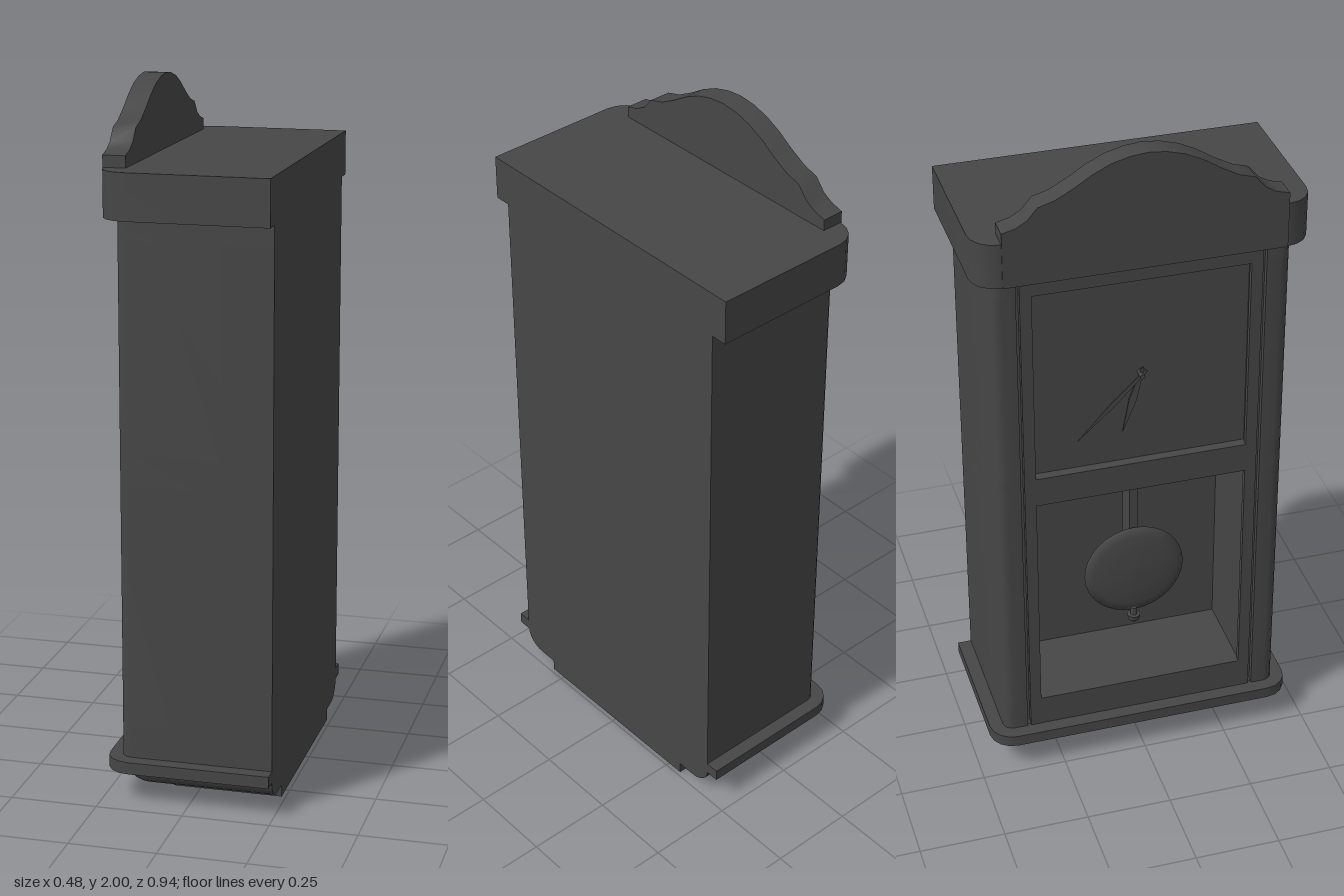
import * as THREE from 'three';
import { toCreasedNormals } from 'three/addons/utils/BufferGeometryUtils.js';

const BACK = 0.238;
const material = new THREE.MeshStandardMaterial({ color: 0x464646 });

function add(parent, name, geometry, x = 0, y = 0, z = 0) {
  const mesh = new THREE.Mesh(geometry, material);
  mesh.name = name;
  mesh.position.set(x, y, z);
  parent.add(mesh);
  return mesh;
}

// Floor plan with a flat back, rounded front corners and stepped recesses
// in the front, each given as [half width, depth position], widest first
function plan(front, half, r, recesses = []) {
  const s = new THREE.Shape();
  s.moveTo(BACK, -half);
  s.lineTo(BACK, half);
  s.lineTo(front + r, half);
  s.absarc(front + r, half - r, r, Math.PI / 2, Math.PI, false);
  const steps = [];
  let x = front;
  for (const [w, depth] of recesses) {
    steps.push([x, w], [depth, w]);
    x = depth;
  }
  for (const [a, w] of steps) s.lineTo(a, w);
  for (const [a, w] of steps.reverse()) s.lineTo(a, -w);
  s.lineTo(front, -half + r);
  s.absarc(front + r, -half + r, r, Math.PI, Math.PI * 1.5, false);
  return s;
}

// Extrude a floor plan upward from y0 to y1
function slab(shape, y0, y1) {
  const g = new THREE.ExtrudeGeometry(shape, { depth: y1 - y0, bevelEnabled: false, curveSegments: 2 });
  g.rotateX(-Math.PI / 2).translate(0, y0, 0);
  return toCreasedNormals(g, 0.6);
}

// Extrude a (z, y) outline along x from x0 to x1
function panel(shape, x0, x1) {
  const g = new THREE.ExtrudeGeometry(shape, { depth: x1 - x0, bevelEnabled: false });
  g.rotateY(Math.PI / 2).translate(x0, 0, 0);
  return toCreasedNormals(g, 0.6);
}

function rect(half, y0, y1, Type = THREE.Shape) {
  return new Type([[-half, y0], [half, y0], [half, y1], [-half, y1]].map(([a, b]) => new THREE.Vector2(a, b)));
}

export function createModel() {
  const clock = new THREE.Group();
  clock.name = 'wallClock';

  // Case, in slices: each has the door recess, two also the room behind a window
  const body = new THREE.Group();
  body.name = 'case';
  clock.add(body);
  const doorRecess = [0.35, -0.184];
  const slices = [
    ['caseBottom', 0.1, 0.22],
    ['pendulumChamber', 0.22, 0.92, [0.31, 0.06]],
    ['caseMiddle', 0.92, 1.01],
    ['dialRecess', 1.01, 1.6, [0.31, -0.172]],
    ['caseTop', 1.6, 1.67],
  ];
  for (const [name, y0, y1, room] of slices) {
    add(body, name, slab(plan(-0.2, 0.42, 0.03, room ? [doorRecess, room] : [doorRecess]), y0, y1));
  }

  // Door frame with two windows, set in its recess with a narrow gap
  const door = rect(0.34, 0.125, 1.66);
  for (const [y0, y1] of [[0.22, 0.92], [1.01, 1.6]]) door.holes.push(rect(0.307, y0, y1, THREE.Path));
  add(clock, 'doorFrame', panel(door, -0.2, -0.184));

  // Cornice and base lip
  add(clock, 'cornice', slab(plan(-0.237, 0.468, 0.075), 1.66, 1.79));
  add(clock, 'baseLip', slab(plan(-0.24, 0.46, 0.07), 0.09, 0.125));

  // Rounded underside, kept straight at the back
  const under = new THREE.ExtrudeGeometry(plan(-0.2, 0.42, 0.075), {
    depth: 0.01, bevelThickness: 0.055, bevelSize: 0.065, bevelOffset: -0.065, bevelSegments: 6, curveSegments: 3,
  });
  under.rotateX(-Math.PI / 2).translate(0, 0.09, 0);
  const p = under.attributes.position;
  for (let i = 0; i < p.count; i++) if (p.getX(i) > 0.1) p.setX(i, BACK);
  add(clock, 'roundedUnderside', toCreasedNormals(under, 0.6));
  add(clock, 'foot', new THREE.BoxGeometry(0.318, 0.04, 0.6), 0.079, 0.02, 0);

  // Arched crest: a half profile, mirrored
  const half = [[0.393, 1.823], [0.355, 1.833], [0.325, 1.85], [0.295, 1.885], [0.25, 1.898],
    [0.2, 1.925], [0.15, 1.957], [0.1, 1.981], [0.05, 1.995]];
  const outline = [[0.393, 1.66], ...half, [0, 2], ...half.map(([z, y]) => [-z, y]).reverse(), [-0.393, 1.66]];
  const crest = new THREE.Shape(outline.map(([z, y]) => new THREE.Vector2(z, y)));
  add(clock, 'crest', panel(crest, -0.24, -0.176));

  // Hands: slim leaves turning about the centre pin
  const hands = new THREE.Group();
  hands.name = 'hands';
  hands.position.set(0, 1.295, 0);
  clock.add(hands);
  const addHand = (name, length, width, angle, x) => {
    const leaf = new THREE.Shape([[-0.004, -0.02], [0.004, -0.02], [width, length * 0.45], [0, length], [-width, length * 0.45]]
      .map(([a, b]) => new THREE.Vector2(a, b)));
    add(hands, name, panel(leaf, x, x + 0.004)).rotation.x = angle;
  };
  addHand('minuteHand', 0.26, 0.007, -Math.PI * 0.75, -0.195);
  addHand('hourHand', 0.19, 0.011, -Math.PI * 0.91, -0.188);
  const pin = add(hands, 'handPin', new THREE.CylinderGeometry(0.007, 0.007, 0.033, 12), -0.188, 0, 0);
  pin.rotation.z = Math.PI / 2;

  // Pendulum: flat rod, lens-shaped bob and a small finial
  const pendulum = new THREE.Group();
  pendulum.name = 'pendulum';
  clock.add(pendulum);
  add(pendulum, 'rod', new THREE.BoxGeometry(0.07, 0.38, 0.024), -0.085, 0.73, 0);
  const lens = [[0, -0.016], [0.07, -0.013], [0.12, -0.008], [0.15, 0], [0.12, 0.008], [0.07, 0.013], [0, 0.016]];
  const bob = add(pendulum, 'bob', new THREE.LatheGeometry(lens.map(([r, y]) => new THREE.Vector2(r, y)), 32), -0.125, 0.58, 0);
  bob.rotation.z = Math.PI / 2;
  add(pendulum, 'finialStem', new THREE.CylinderGeometry(0.01, 0.01, 0.05, 12), -0.125, 0.415, 0);
  add(pendulum, 'finialNut', new THREE.CylinderGeometry(0.02, 0.016, 0.018, 12), -0.125, 0.405, 0);

  return clock;
}
